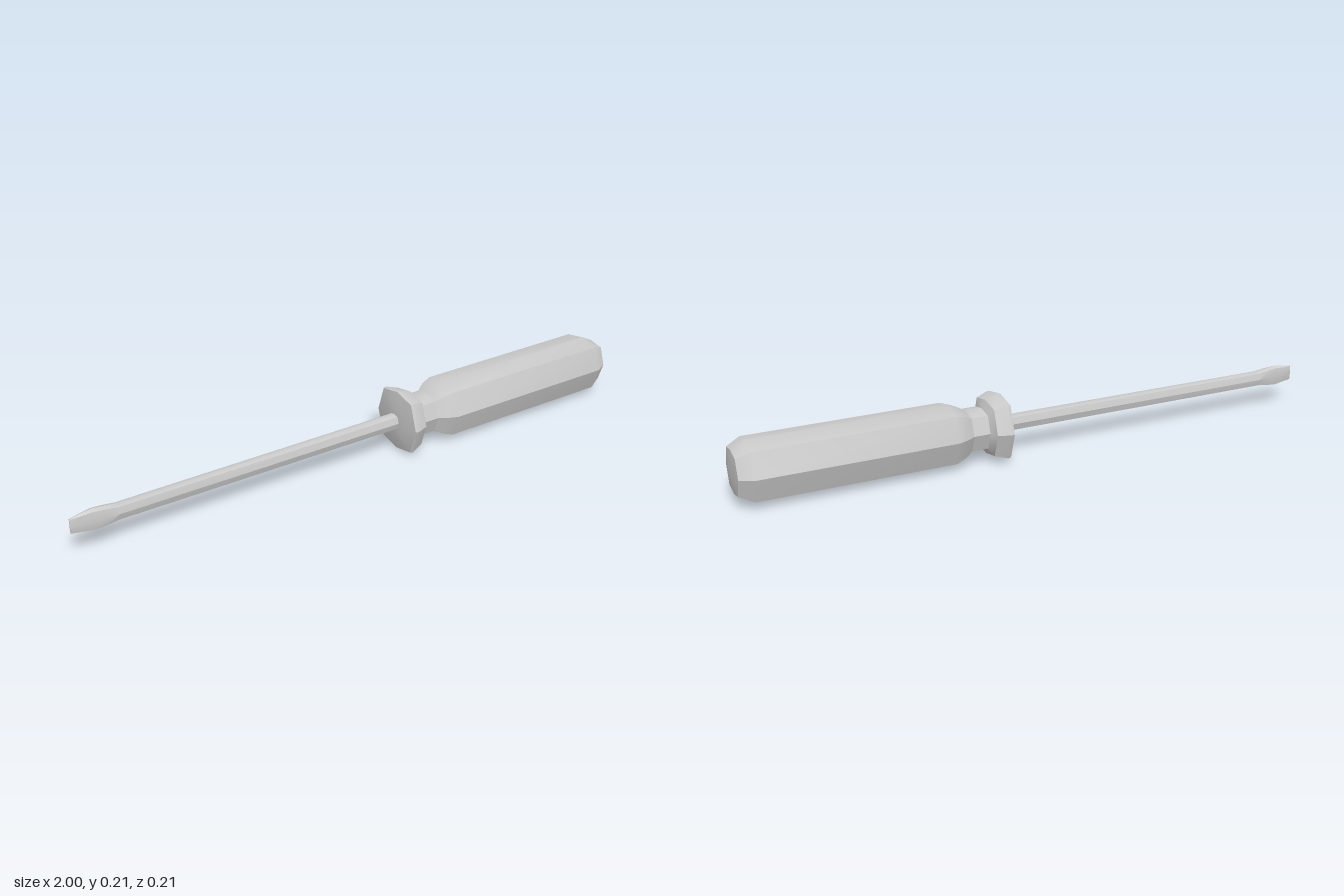
import * as THREE from 'three';
import { toCreasedNormals } from 'three/addons/utils/BufferGeometryUtils.js';

const AXIS_Y = 0.104;
// Slightly squared octagon, as [y, z] multiples of the half height and half depth
const OCTAGON = [[1, 0], [0.85, 0.72], [0, 1], [-0.85, 0.72], [-1, 0], [-0.85, -0.72], [0, -1], [0.85, -0.72]];

// Skins octagonal stations [x, halfHeight, halfDepth] along x, closed at both ends
function loft(stations, startX, endX) {
  const n = OCTAGON.length, positions = [], index = [];
  for (const [x, h, d] of stations) {
    for (const [y, z] of OCTAGON) positions.push(x, AXIS_Y + y * h, z * d);
  }
  const last = (stations.length - 1) * n;
  const start = last + n, end = start + 1;
  positions.push(startX, AXIS_Y, 0, endX, AXIS_Y, 0);
  for (let j = 0; j < n; j++) {
    const k = (j + 1) % n;
    for (let r = 0; r < last; r += n) {
      index.push(r + j, r + k, r + n + j, r + k, r + n + k, r + n + j);
    }
    index.push(start, k, j, end, last + j, last + k);
  }
  const geometry = new THREE.BufferGeometry();
  geometry.setAttribute('position', new THREE.Float32BufferAttribute(positions, 3));
  geometry.setIndex(index);
  return toCreasedNormals(geometry, THREE.MathUtils.degToRad(30));
}

export function createModel() {
  const group = new THREE.Group();
  group.name = 'screwdriver';
  const material = new THREE.MeshStandardMaterial({ color: 0xcccccc });
  const add = (name, geometry) => {
    const mesh = new THREE.Mesh(geometry, material);
    mesh.name = name;
    group.add(mesh);
  };

  // Grip with flared guard, narrow neck and domed butt
  add('handle', loft([
    [0.125, 0.05, 0.05],
    [0.135, 0.102, 0.105],
    [0.145, 0.104, 0.107],
    [0.187, 0.09, 0.092],
    [0.2, 0.064, 0.066],
    [0.255, 0.064, 0.066],
    [0.28, 0.08, 0.082],
    [0.315, 0.092, 0.096],
    [0.945, 0.092, 0.096],
    [0.99, 0.07, 0.073],
  ], 0.125, 1));

  // Shaft ending in a widened, wedge-shaped blade
  add('shaftAndBlade', loft([
    [-1, 0.025, 0.002],
    [-0.97, 0.03, 0.011],
    [-0.93, 0.035, 0.018],
    [-0.9, 0.032, 0.02],
    [-0.855, 0.025, 0.021],
    [0.14, 0.025, 0.024],
  ], -1, 0.14));

  return group;
}
